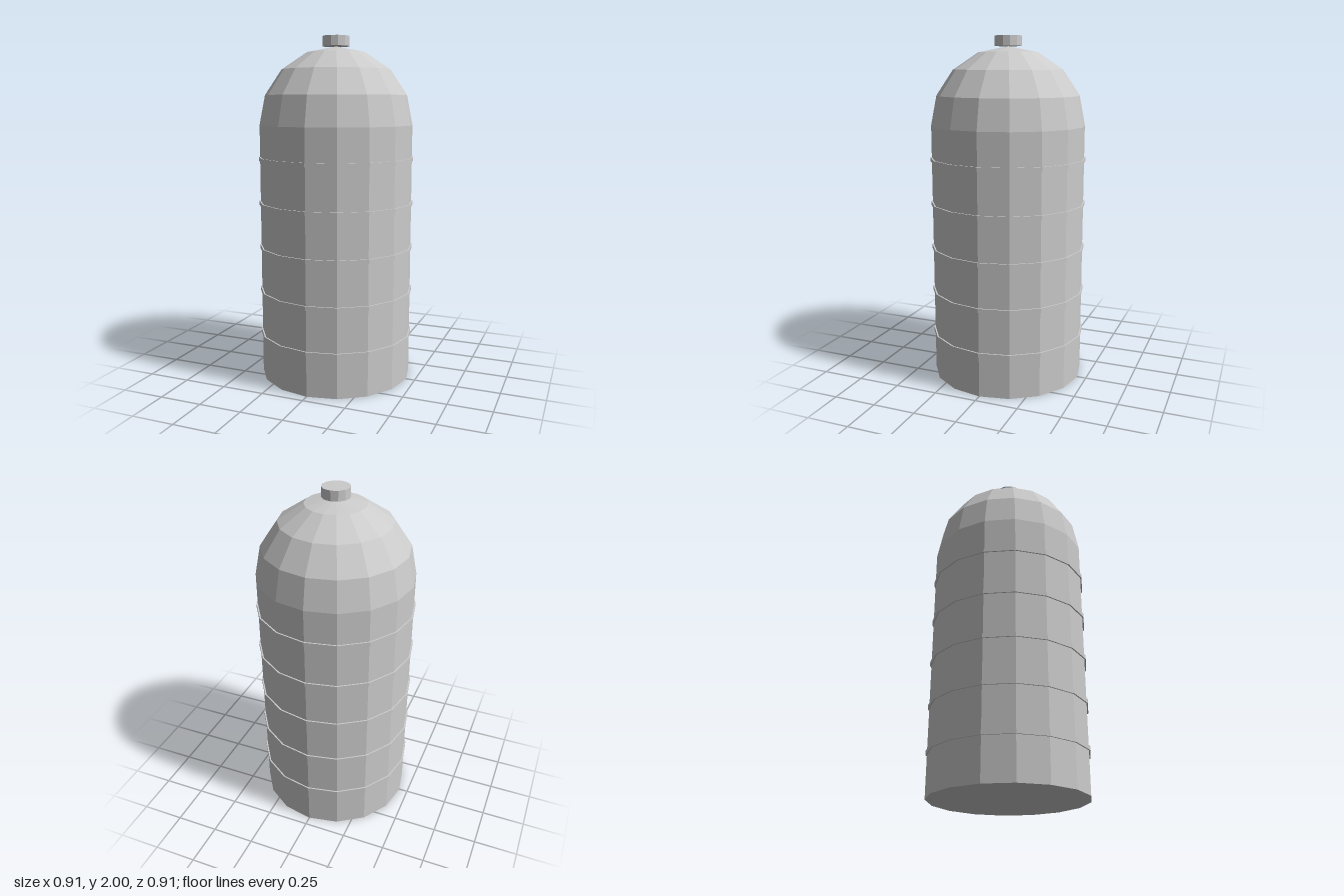
import * as THREE from 'three';

const SIDES = 16, RADIUS = 0.447, SHOULDER = 1.495;

export function createModel() {
  const group = new THREE.Group();
  const material = new THREE.MeshStandardMaterial({ color: 0xcccccc, flatShading: true });

  function add(name, geometry, y = 0) {
    const mesh = new THREE.Mesh(geometry, material);
    mesh.name = name;
    mesh.position.y = y;
    group.add(mesh);
  }

  // Closed cylindrical tank with a faceted hemispherical dome
  const profile = [new THREE.Vector2(0, 0), new THREE.Vector2(RADIUS, 0)];
  for (let i = 0; i <= 4; i++) {
    const a = (i / 4) * Math.PI / 2;
    profile.push(new THREE.Vector2(i === 4 ? 0 : RADIUS * Math.cos(a), SHOULDER + RADIUS * Math.sin(a)));
  }
  add('tankBody', new THREE.LatheGeometry(profile, SIDES));

  // Evenly spaced thin hoops around the tank
  for (let i = 0; i < 5; i++) {
    add(`hoop${i + 1}`, new THREE.CylinderGeometry(0.455, 0.455, 0.024, SIDES), 0.251 + i * 0.2615);
  }

  // Small cap on top of the dome
  add('topCap', new THREE.CylinderGeometry(0.079, 0.079, 0.057, 12), 1.9715);

  return group;
}
